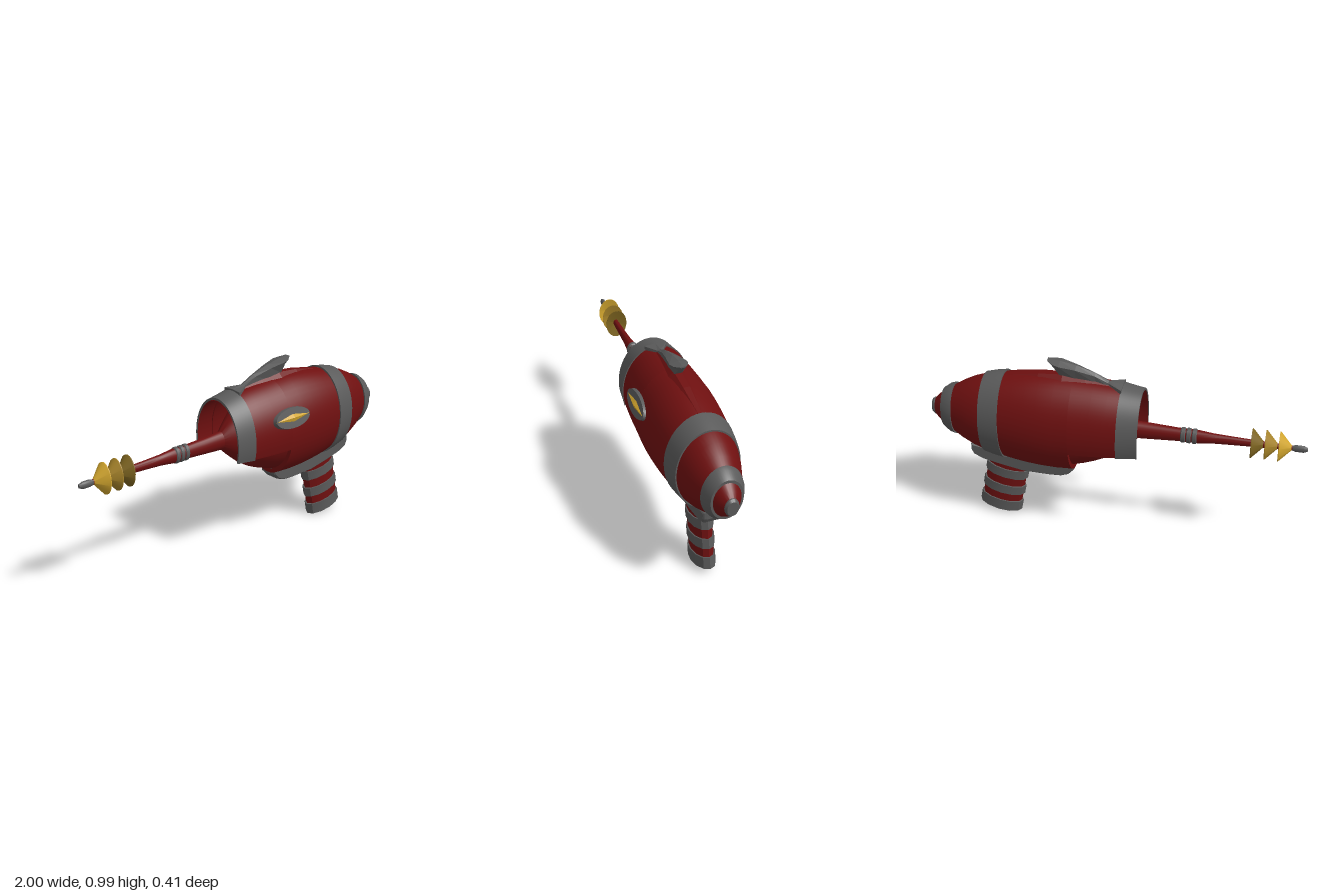
import * as THREE from 'three';
import { toCreasedNormals } from 'three/addons/utils/BufferGeometryUtils.js';

const AXIS_Y = 0.635; // height of the long axis
const FLAT = 0.72;    // every turned part is squeezed sideways

const mat = (name, color) => {
  const m = new THREE.MeshStandardMaterial({ color, side: THREE.DoubleSide });
  m.name = name;
  return m;
};

export function createModel() {
  const red = mat('dark red', 0x6f1010);
  const grey = mat('grey', 0x5a5a5a);
  const golds = [mat('gold', 0xd2a62e), mat('dull gold', 0xa58229), mat('dark gold', 0x7d6420)];

  const gun = new THREE.Group();
  gun.name = 'rayGun';

  function add(name, geometry, material, parent = gun) {
    const mesh = new THREE.Mesh(geometry, material);
    mesh.name = name;
    parent.add(mesh);
    return mesh;
  }

  // Lay a geometry turned about y along the x axis, squeezed in z
  const lay = (g) => g.rotateZ(-Math.PI / 2).scale(1, 1, FLAT).translate(0, AXIS_Y, 0);

  // Turned part from [x, radius] points
  function turned(name, points, material, segments = 48, start = 0, sweep = Math.PI * 2) {
    const pts = points.map(([x, r]) => new THREE.Vector2(r, x));
    const g = new THREE.LatheGeometry(pts, segments, start, sweep);
    return add(name, toCreasedNormals(lay(g), 0.5), material);
  }

  // Hood with an open underside: outer skin, inner skin and the two cut edges
  const CUT = 0.33, START = Math.PI - CUT, SWEEP = Math.PI + 2 * CUT;
  function hood(name, outer, thickness, material) {
    const inner = outer.map(([x, r]) => [x, r - thickness]).reverse();
    const loop = [...outer, ...inner];
    turned(name, [...loop, outer[0]], material, 40, START, SWEEP);
    for (const phi of [START, START + SWEEP]) {
      const shape = new THREE.Shape(loop.map(([x, r]) => new THREE.Vector2(r, x)));
      add(name + 'Edge', lay(new THREE.ShapeGeometry(shape).rotateY(phi - Math.PI / 2)), material);
    }
  }

  // Faceted skin over equal-sized loops of [x, y, z] points, ends closed
  function loft(loops) {
    const n = loops[0].length, index = [];
    for (let i = 0; i < loops.length - 1; i++) {
      for (let j = 0; j < n; j++) {
        const a = i * n + j, b = i * n + (j + 1) % n;
        index.push(a, b, a + n, b, b + n, a + n);
      }
    }
    const last = (loops.length - 1) * n;
    for (let j = 1; j < n - 1; j++) index.push(0, j + 1, j, last, last + j, last + j + 1);
    const g = new THREE.BufferGeometry();
    g.setAttribute('position', new THREE.Float32BufferAttribute(loops.flat(2), 3));
    g.setIndex(index);
    const flat = g.toNonIndexed();
    flat.computeVertexNormals();
    return flat;
  }

  // Body shell
  turned('body', [[0.21, 0.235], [0.21, 0.271], [0.3, 0.275], [0.38, 0.273], [0.45, 0.267],
    [0.52, 0.258], [0.59, 0.245], [0.65, 0.234], [0.7, 0.221], [0.76, 0.2], [0.82, 0.17],
    [0.87, 0.138], [0.93, 0.1], [0.96, 0.074], [0.985, 0.046]], red);
  hood('hood', [[-0.04, 0.249], [0.02, 0.256], [0.1, 0.264], [0.21, 0.271]], 0.02, red);
  hood('frontCollar', [[-0.148, 0.236], [-0.1, 0.244], [-0.04, 0.256]], 0.012, grey);
  turned('collarLining', [[-0.146, 0.222], [-0.03, 0.238]], red, 40, START, SWEEP);
  turned('innerHull', [[-0.13, 0.045], [-0.09, 0.083], [-0.05, 0.118], [0, 0.158], [0.05, 0.188],
    [0.1, 0.21], [0.16, 0.231], [0.22, 0.246]], red);

  // Grey bands and rear cap
  turned('rearBand', [[0.587, 0.235], [0.587, 0.255], [0.64, 0.246], [0.698, 0.231], [0.698, 0.215]], grey);
  turned('tailBand', [[0.868, 0.13], [0.868, 0.15], [0.895, 0.142], [0.932, 0.114], [0.932, 0.095]], grey);
  turned('tailCap', [[0.972, 0.04], [0.972, 0.05], [0.988, 0.05], [1, 0.04], [1, 0]], grey, 24);

  // Barrel, rings and tip
  turned('barrel', [[-0.93, 0.014], [-0.72, 0.02], [-0.6, 0.025], [-0.52, 0.029], [-0.44, 0.038],
    [-0.34, 0.038], [-0.25, 0.043], [-0.12, 0.05]], red, 20);
  for (let i = 0; i < 3; i++) {
    const x = -0.436 + i * 0.03;
    turned('barrelRing', [[x, 0.036], [x + 0.006, 0.044], [x + 0.022, 0.044], [x + 0.028, 0.036]], grey, 20);
  }
  turned('barrelTip', [[-1, 0], [-1, 0.01], [-0.98, 0.019], [-0.94, 0.019], [-0.905, 0.01]], grey, 12);
  golds.forEach((gold, i) => {
    const x = -0.92 + i * 0.07;
    turned('emitterCone', [[x, 0.012], [x + 0.062, 0.083], [x + 0.066, 0.083], [x + 0.05, 0.012]], gold, 24);
  });

  // Low ridge along the top, under the fin
  add('topRidge', loft([[0.0, 0.893, 0.02], [0.15, 0.912, 0.025], [0.27, 0.926, 0.026],
    [0.4, 0.915, 0.024], [0.58, 0.882, 0.015]].map(([x, y, w]) =>
    [[x, y, w * 0.7], [x, y, -w * 0.7], [x, y - 0.04, -w - 0.035], [x, y - 0.04, w + 0.035]])), red);

  // Fin: ridge height, shoulder height, shoulder width, base height, base width
  add('topFin', loft([
    [-0.045, 0.898, 0.893, 0.06, 0.86, 0.06],
    [0.03, 0.908, 0.902, 0.016, 0.88, 0.02],
    [0.1, 0.945, 0.935, 0.018, 0.895, 0.016],
    [0.2, 0.978, 0.965, 0.033, 0.905, 0.02],
    [0.285, 0.994, 0.983, 0.047, 0.92, 0.02],
    [0.32, 0.998, 0.989, 0.038, 0.962, 0.015],
    [0.35, 1.0, 0.998, 0.016, 0.993, 0.01],
  ].map(([x, top, side, w, base, bw]) =>
    [[x, top, 0], [x, side, -w], [x, base, -bw], [x, base, bw], [x, side, w]])), grey);

  // Side gauge on the left of the body
  const gauge = new THREE.Group();
  gauge.name = 'sideGauge';
  gauge.position.set(0.208, 0.729, 0.184);
  gauge.rotation.x = -0.3;
  gun.add(gauge);
  add('gaugePlate', new THREE.CylinderGeometry(0.94, 1, 0.03, 28).rotateX(Math.PI / 2)
    .scale(0.127, 0.057, 1), grey, gauge);
  const needle = new THREE.OctahedronGeometry(1).scale(0.124, 0.022, 0.013);
  needle.translate(0, 0, 0.014);
  add('gaugeNeedle', needle, golds[0], gauge);

  // Saddle joining the grip to the body
  const saddle = new THREE.Shape([[0.215, 0.41], [0.222, 0.36], [0.25, 0.33], [0.29, 0.315],
    [0.35, 0.312], [0.5, 0.315], [0.62, 0.338], [0.72, 0.362], [0.77, 0.385], [0.782, 0.41],
    [0.782, 0.44], [0.7, 0.425], [0.5, 0.41]].map(([x, y]) => new THREE.Vector2(x, y)));
  add('gripSaddle', new THREE.ExtrudeGeometry(saddle, {
    depth: 0.07, bevelEnabled: true, bevelSize: 0.008, bevelThickness: 0.02, bevelSegments: 2,
  }).translate(0, 0, -0.035), grey);

  // Slanted grip with bands
  const grip = new THREE.Group();
  grip.name = 'grip';
  grip.position.set(0.655, 0.03, 0);
  grip.rotation.z = 0.2;
  gun.add(grip);
  const slab = (name, from, to, rx, rz, material) => {
    const g = new THREE.CylinderGeometry(1, 1, to - from, 12).scale(rx, 1, rz);
    add(name, toCreasedNormals(g.translate(0, (from + to) / 2, 0), 0.6), material, grip);
  };
  slab('gripCore', 0.01, 0.37, 0.112, 0.053, red);
  for (const [from, to] of [[0, 0.065], [0.117, 0.172], [0.227, 0.282]]) {
    slab('gripBand', from, to, 0.121, 0.06, grey);
  }

  gun.position.z = -0.004;
  const model = new THREE.Group();
  model.name = 'model';
  model.add(gun);
  return model;
}
